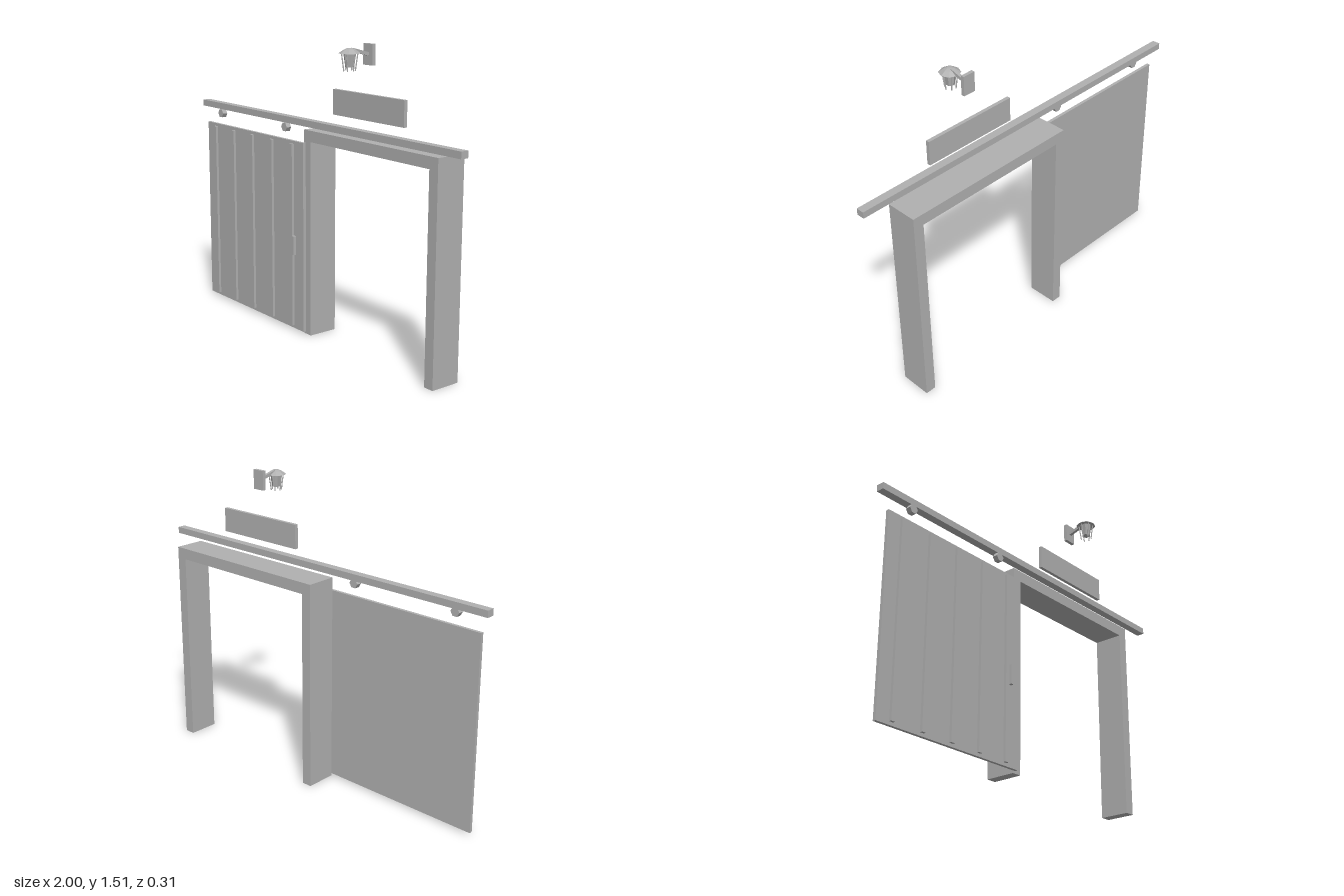
import * as THREE from 'three';

const grey = new THREE.MeshStandardMaterial({ color: 0xb0b0b0, flatShading: true });
grey.name = 'plain grey';

function add(parent, name, geometry, x = 0, y = 0, z = 0) {
  const mesh = new THREE.Mesh(geometry, grey);
  mesh.name = name;
  mesh.position.set(x, y, z);
  parent.add(mesh);
  return mesh;
}

// Box given by its limits on each axis
function block(parent, name, [x0, x1], [y0, y1], [z0, z1]) {
  return add(parent, name, new THREE.BoxGeometry(x1 - x0, y1 - y0, z1 - z0),
    (x0 + x1) / 2, (y0 + y1) / 2, (z0 + z1) / 2);
}

// Thin square or round bar between two points
function bar(parent, name, a, b, radius, sides) {
  const dir = b.clone().sub(a);
  const geometry = new THREE.CylinderGeometry(radius, radius, dir.length(), sides);
  if (sides === 4) geometry.rotateY(Math.PI / 4);
  const mesh = add(parent, name, geometry);
  mesh.position.copy(a).add(b).multiplyScalar(0.5);
  mesh.quaternion.setFromUnitVectors(new THREE.Vector3(0, 1, 0), dir.normalize());
  return mesh;
}

function buildFrame() {
  // Three-sided door surround in one piece
  const outline = [[-0.1, 0], [-0.048, 0], [-0.048, 1.003], [0.792, 1.003],
    [0.792, 0], [0.846, 0], [0.846, 1.06], [-0.1, 1.06]];
  const shape = new THREE.Shape(outline.map(([x, y]) => new THREE.Vector2(x, y)));
  const geometry = new THREE.ExtrudeGeometry(shape, { depth: 0.157, bevelEnabled: false });
  const group = new THREE.Group();
  group.name = 'doorFrame';
  add(group, 'surround', geometry, 0, 0, -0.154);
  return group;
}

function buildDoor() {
  const group = new THREE.Group();
  group.name = 'slidingDoor';
  block(group, 'doorPanel', [-0.957, -0.086], [0.012, 0.995], [0.004, 0.02]);
  for (let i = 0; i < 5; i++) {
    const x = -0.873 + i * 0.1748;
    block(group, 'batten', [x - 0.011, x + 0.011], [0.028, 0.98], [0.02, 0.033]);
  }
  block(group, 'handle', [-0.158, -0.141], [0.412, 0.51], [0.024, 0.041]);
  return group;
}

function buildRail() {
  const group = new THREE.Group();
  group.name = 'rail';
  block(group, 'track', [-1, 1], [1.08, 1.113], [-0.018, 0.023]);
  // Six-sided rollers with flats at top and bottom
  for (const x of [-0.816, -0.232]) {
    const roller = new THREE.CylinderGeometry(0.024, 0.024, 0.027, 6);
    roller.rotateY(Math.PI / 6).rotateX(Math.PI / 2);
    add(group, 'roller', roller, x, 1.058, 0.016);
  }
  return group;
}

function buildLamp() {
  const group = new THREE.Group();
  group.name = 'wallLamp';
  const cx = 0.372, cz = 0.104;
  block(group, 'wallPlate', [0.34, 0.404], [1.415, 1.512], [-0.02, -0.002]);
  bar(group, 'arm', new THREE.Vector3(cx, 1.465, -0.004),
    new THREE.Vector3(cx, 1.49, 0.09), 0.011, 4);

  // Low faceted shade, closed underneath
  const profile = [[0, 1.474], [0.051, 1.474], [0.028, 1.49], [0.013, 1.497], [0, 1.498]];
  const shade = new THREE.LatheGeometry(profile.map(([r, y]) => new THREE.Vector2(r, y)), 8);
  add(group, 'shade', shade, cx, 0, cz);

  // Tapered lantern body and the six rods around it
  add(group, 'lanternBody', new THREE.CylinderGeometry(0.031, 0.021, 0.062, 6),
    cx, 1.444, cz);
  for (let i = 0; i < 6; i++) {
    const a = i * Math.PI / 3;
    const at = (r, y) => new THREE.Vector3(cx + r * Math.cos(a), y, cz + r * Math.sin(a));
    bar(group, 'rod', at(0.037, 1.476), at(0.026, 1.395), 0.003, 5);
  }
  return group;
}

export function createModel() {
  const model = new THREE.Group();
  model.name = 'slidingDoorSet';
  model.add(buildFrame(), buildDoor(), buildRail(), buildLamp());
  // Blank board above the opening
  block(model, 'signBoard', [0.123, 0.621], [1.16, 1.282], [-0.02, -0.002]);
  return model;
}
